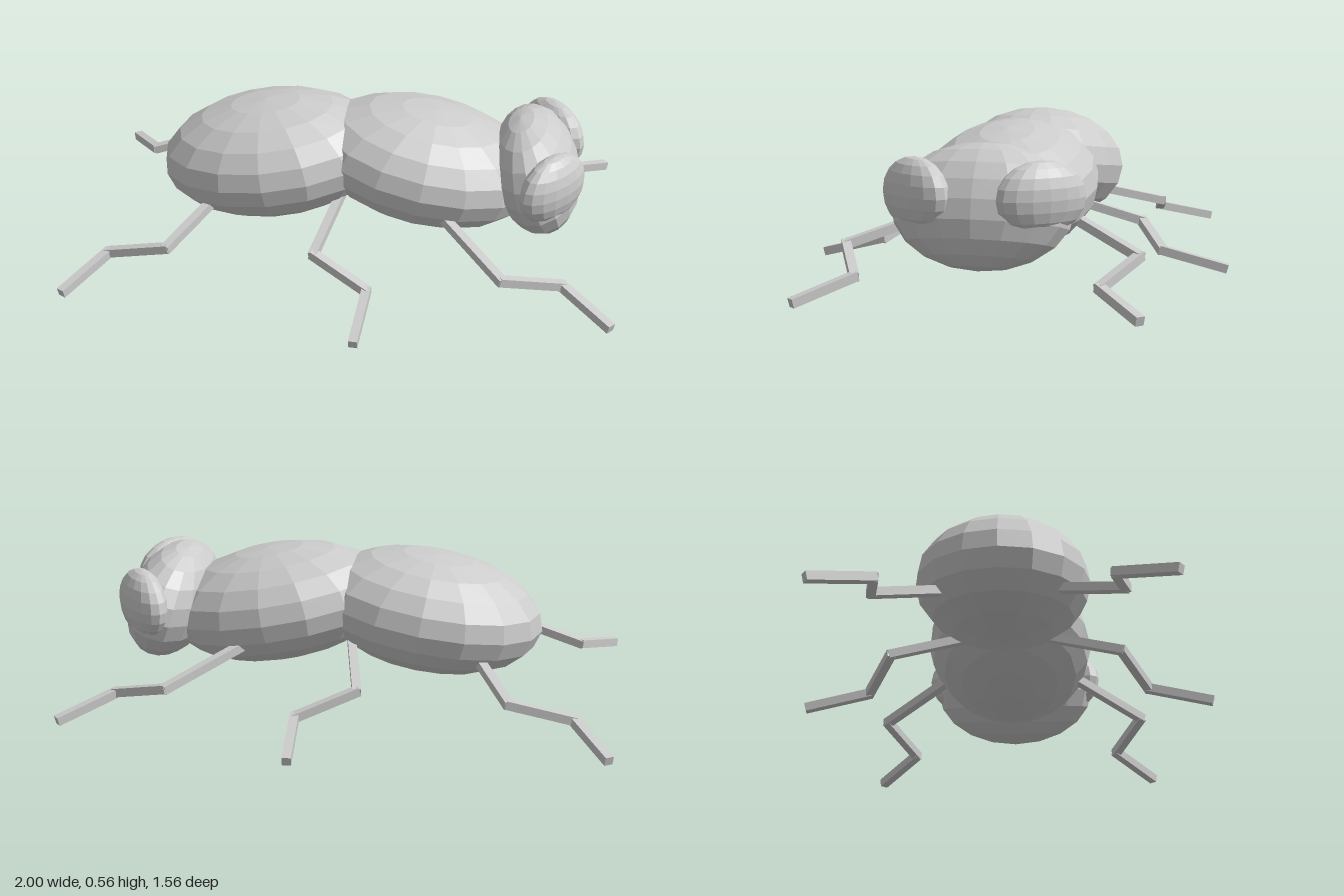
import * as THREE from 'three';

const material = new THREE.MeshStandardMaterial({ color: 0xcccccc, flatShading: true });

// Faceted ellipsoid with its poles on the local y axis
function ellipsoid(name, [cols, rows], position, radii, yaw = 0, pitch = 0) {
  const geometry = new THREE.SphereGeometry(1, cols, rows);
  geometry.scale(...radii);
  const mesh = new THREE.Mesh(geometry, material);
  mesh.name = name;
  mesh.position.set(...position);
  mesh.rotation.set(0, yaw, pitch);
  return mesh;
}

// Jointed leg made of square rods that overlap slightly at the joints
function leg(name, points, side) {
  const group = new THREE.Group();
  group.name = name;
  const joints = points.map(([x, y, z]) => new THREE.Vector3(x, y, z * side));
  ['upperSegment', 'middleSegment', 'foot'].forEach((part, i) => {
    const a = joints[i], b = joints[i + 1];
    const rod = new THREE.Mesh(new THREE.BoxGeometry(0.032, 0.032, a.distanceTo(b) + 0.018), material);
    rod.name = part;
    rod.position.lerpVectors(a, b, 0.5);
    rod.lookAt(b);
    group.add(rod);
  });
  return group;
}

export function createModel() {
  const model = new THREE.Group();
  model.name = 'insect';

  // Body, facing +x
  model.add(ellipsoid('abdomen', [16, 10], [-0.29, 0.328, 0], [0.43, 0.222, 0.32], 0, 0.15));
  model.add(ellipsoid('thorax', [16, 10], [0.285, 0.33, 0], [0.43, 0.216, 0.32], 0, -0.19));
  model.add(ellipsoid('head', [16, 10], [0.7, 0.32, 0], [0.16, 0.22, 0.32], 0, 0.33));

  // Start, knee, ankle and tip of the legs on the +z side
  const legs = {
    front: [[0.34, 0.245, 0.22], [0.595, 0.15, 0.52], [0.81, 0.083, 0.42], [0.98, 0.025, 0.575]],
    middle: [[-0.02, 0.24, 0.15], [-0.085, 0.15, 0.43], [0.12, 0.08, 0.535], [0.1, 0.019, 0.765]],
    back: [[-0.49, 0.21, 0.18], [-0.625, 0.14, 0.435], [-0.855, 0.08, 0.395], [-0.98, 0.025, 0.59]],
  };

  for (const side of [1, -1]) {
    const label = side > 0 ? 'NearSide' : 'FarSide';
    // Flattened eyes, angled forward and outward
    model.add(ellipsoid('eye' + label, [16, 10], [0.757, 0.365, 0.215 * side],
      [0.075, 0.127, 0.165], -0.66 * side));
    for (const [key, points] of Object.entries(legs)) model.add(leg(key + 'Leg' + label, points, side));
  }
  return model;
}
